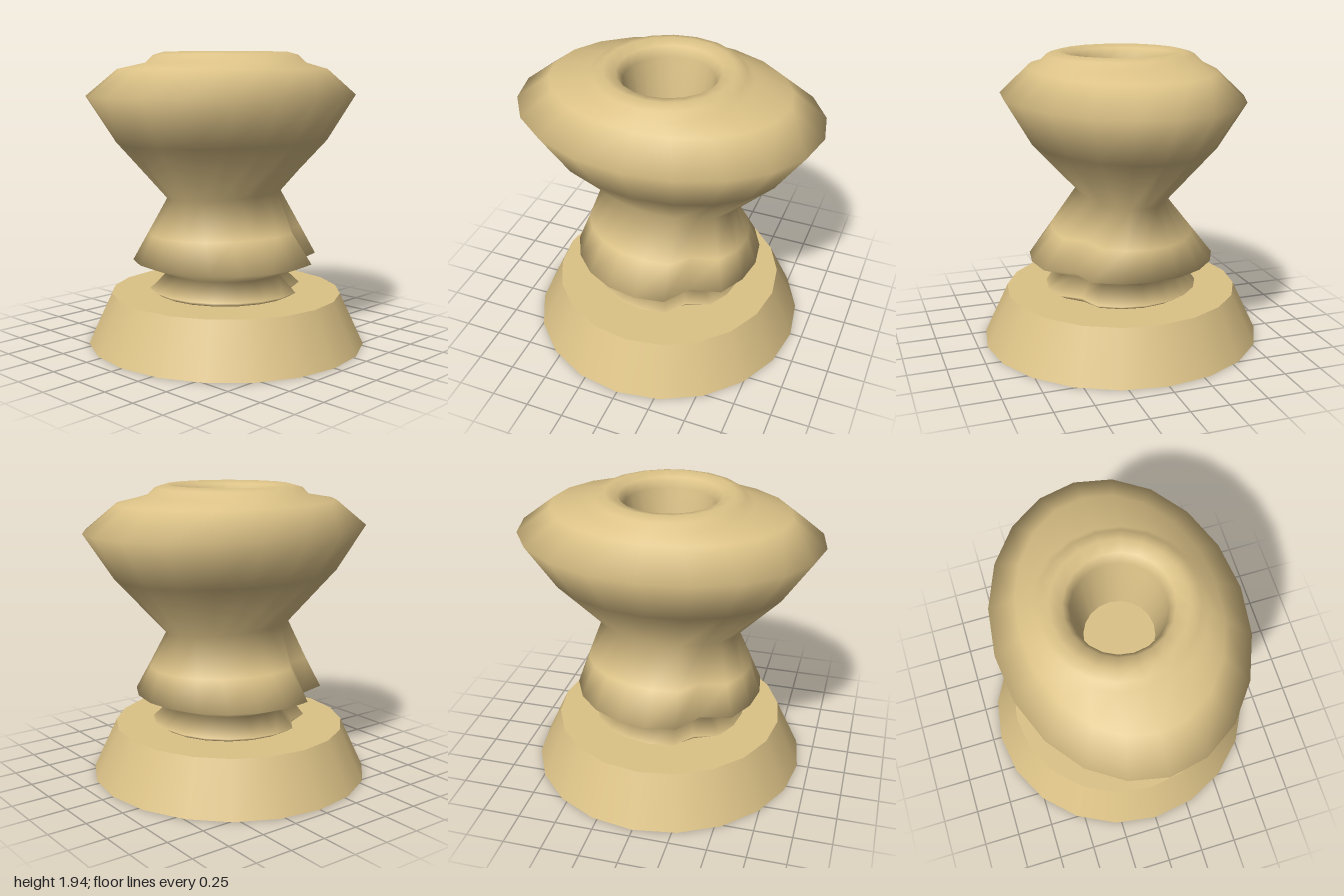
import * as THREE from 'three';

const SIDES = 20;

// Rings of the turned body: [height, half width x, half depth z, groove depth]
const RINGS = [
  [0.34, 0.46, 0.47, 0.1],
  [0.37, 0.51, 0.515, 0.14],
  [0.48, 0.39, 0.4, 0.12],
  [0.57, 0.62, 0.63, 0.17],
  [0.76, 0.465, 0.56, 0.15],
  [1.0, 0.27, 0.47, 0],
  [1.36, 0.6, 0.8, 0],
  [1.66, 0.775, 1.0, 0],
  [1.83, 0.6, 0.78, 0],
  [1.87, 0.53, 0.53, 0],
  [1.92, 0.48, 0.48, 0],
  [1.94, 0.41, 0.41, 0],
  [1.92, 0.33, 0.33, 0],
  [1.86, 0.29, 0.29, 0],
  [1.45, 0.225, 0.225, 0],
];

// Skin the elliptical rings into one smooth surface
function loftRings(rings) {
  const points = [], index = [];
  for (const [y, rx, rz, groove] of rings) {
    for (let i = 0; i < SIDES; i++) {
      const a = (i / SIDES) * Math.PI * 2;
      // A groove runs down two opposite sides of the lower body
      const k = i % (SIDES / 2) === SIDES / 2 - 2 ? 1 - groove : 1;
      points.push(rx * k * Math.cos(a), y, rz * k * Math.sin(a));
    }
  }
  for (let r = 0; r < rings.length - 1; r++) {
    for (let i = 0; i < SIDES; i++) {
      const a = r * SIDES + i, b = r * SIDES + ((i + 1) % SIDES);
      index.push(a, a + SIDES, b, b, a + SIDES, b + SIDES);
    }
  }
  const geometry = new THREE.BufferGeometry();
  geometry.setAttribute('position', new THREE.Float32BufferAttribute(points, 3));
  geometry.setIndex(index);
  geometry.computeVertexNormals();
  return geometry;
}

export function createModel() {
  const group = new THREE.Group();
  const material = new THREE.MeshStandardMaterial({ color: 0xdcc287, side: THREE.DoubleSide });

  const add = (name, geometry) => {
    const mesh = new THREE.Mesh(geometry, material);
    mesh.name = name;
    group.add(mesh);
    return mesh;
  };

  // Tapered foot
  const base = add('base', new THREE.CylinderGeometry(0.78, 0.94, 0.34, SIDES));
  base.position.y = 0.17;
  base.scale.z = 0.98;

  // Waisted body with the rim and the wall of the socket
  add('body', loftRings(RINGS));

  // Bottom of the socket
  const floor = add('socketFloor', new THREE.CircleGeometry(0.225, SIDES));
  floor.rotation.x = -Math.PI / 2;
  floor.position.y = 1.45;

  return group;
}
